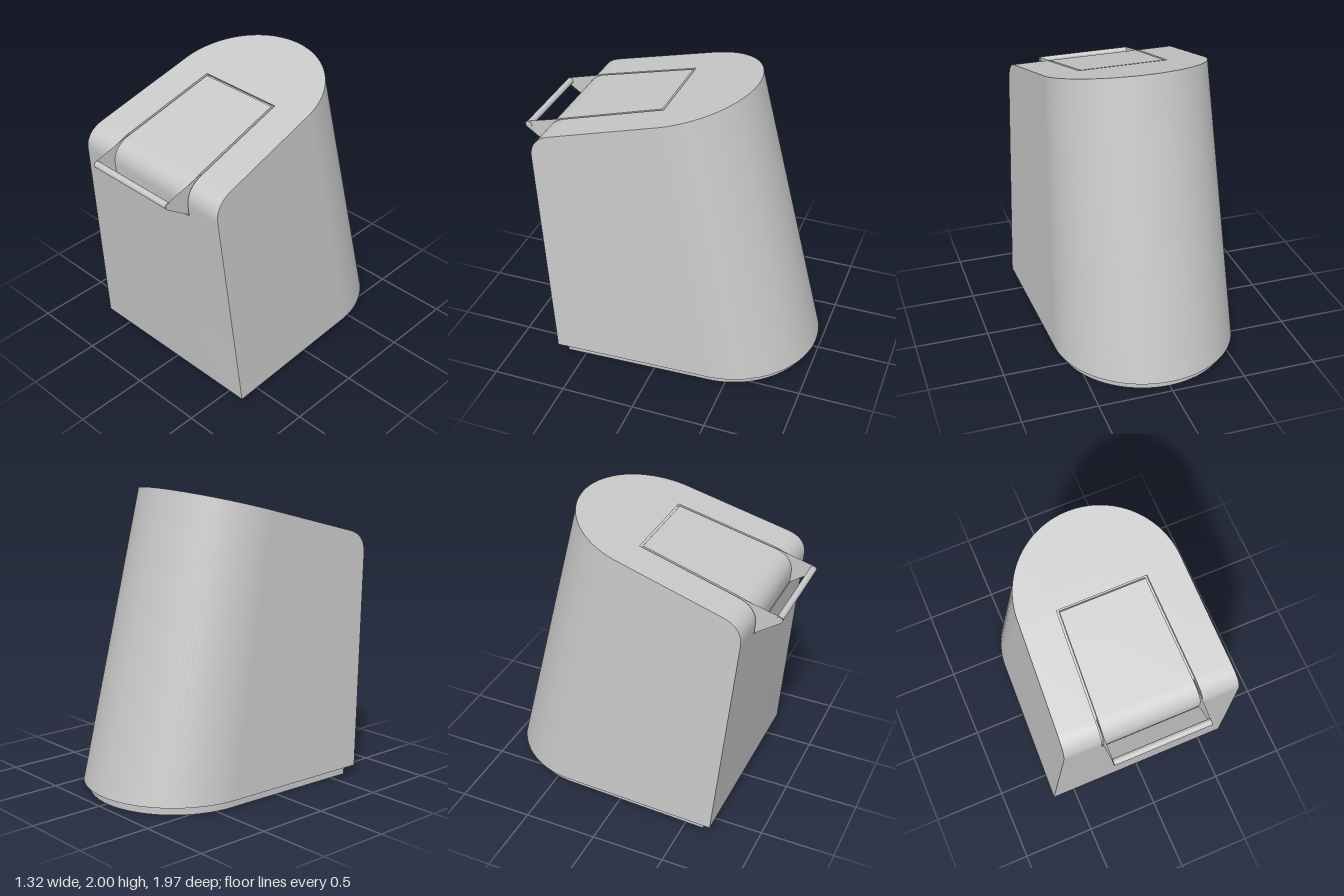
import * as THREE from 'three';
import { toCreasedNormals } from 'three/addons/utils/BufferGeometryUtils.js';

const lerp = THREE.MathUtils.lerp;

// Collects quads (corners anticlockwise from outside) into one creased geometry
class Quads {
  constructor() { this.p = []; }
  add(a, b, c, d) { this.p.push(...a, ...b, ...c, ...a, ...c, ...d); }
  // a quad on the +x side together with its mirror image
  pair(a, b, c, d) {
    const m = ([x, y, z]) => [-x, y, z];
    this.add(a, b, c, d);
    this.add(m(d), m(c), m(b), m(a));
  }
  build() {
    const g = new THREE.BufferGeometry();
    g.setAttribute('position', new THREE.Float32BufferAttribute(this.p, 3));
    return toCreasedNormals(g, 0.45);
  }
}

// Horizontal U section at height h above the body's foot
const FOOT = 0.06;
const arcZ = (h) => -0.36 + 0.203 * h;
const arcR = (h) => 0.62 - 0.0442 * h;
const frontZ = (h) => 0.69 + 0.0863 * h;
const frontW = (h) => 0.66 - 0.05 * h;
const slopeY = (z) => 1.867 - 0.267 * z;

// Half widths of the groove around the lid
const grooveOuter = (z) => 0.298 + 0.0475 * z;
const grooveInner = (z) => grooveOuter(z) - 0.016;

// Rim rows from the back over the top and down the front: half width, y, z and foot point
function makeRows() {
  const rows = [];
  const N = 28;
  for (let i = 0; i <= N; i++) {
    const t = (i / N) * Math.PI / 2, c = Math.cos(t), s = Math.sin(t);
    const A = -0.36 - 0.62 * c, B = 0.203 + 0.0442 * c;
    const h = (1.807 - 0.267 * A) / (1 + 0.267 * B);
    rows.push({ w: arcR(h) * s, y: h + FOOT, z: A + B * h, fw: 0.62 * s, fz: A });
  }
  const straight = (z, y) => {
    const h = y - FOOT;
    const s = (z - arcZ(h)) / (frontZ(h) - arcZ(h));
    rows.push({ w: lerp(arcR(h), frontW(h), s), y, z, fw: lerp(0.62, 0.66, s), fz: lerp(-0.36, 0.69, s) });
  };
  const lidStart = rows.length;
  for (const z of [0.025, 0.04]) straight(z, slopeY(z));
  // rounded upper front edge
  const bend = new THREE.QuadraticBezierCurve(
    new THREE.Vector2(0.69, slopeY(0.69)), new THREE.Vector2(0.826, 1.646),
    new THREE.Vector2(frontZ(1.46), 1.52));
  for (const p of bend.getPoints(12)) straight(p.x, p.y);
  for (const y of [1.457, 1.445]) straight(frontZ(y - FOOT), y);
  const lidEnd = rows.length - 1;
  straight(0.69, FOOT);
  return { rows, lidStart, lidEnd };
}

// Panel following the rows, with a skirt around it between depths d0 and d1
function makePanel(rows, half, surfaceDepth, d0, d1) {
  const q = new Quads();
  const at = (r, d, s = 1) => [s * half(r.z), r.y - d * 0.8, r.z - d * 0.6];
  for (let i = 0; i < rows.length - 1; i++) {
    const a = rows[i], b = rows[i + 1];
    q.add(at(a, surfaceDepth, -1), at(b, surfaceDepth, -1), at(b, surfaceDepth), at(a, surfaceDepth));
    q.pair(at(a, d0), at(b, d0), at(b, d1), at(a, d1));
  }
  const f = rows[0], l = rows[rows.length - 1];
  q.add(at(f, d0, -1), at(f, d0), at(f, d1), at(f, d1, -1));
  q.add(at(l, d0), at(l, d0, -1), at(l, d1, -1), at(l, d1));
  return q.build();
}

export function createModel() {
  const group = new THREE.Group();
  const grey = new THREE.MeshStandardMaterial({ color: 0xc8c8c8, side: THREE.DoubleSide });
  grey.name = 'light grey';
  const add = (name, geometry) => {
    const mesh = new THREE.Mesh(geometry, grey);
    mesh.name = name;
    group.add(mesh);
    return mesh;
  };

  const { rows, lidStart, lidEnd } = makeRows();

  // Body: walls, underside, and a top and front open where the lid sits
  const body = new Quads();
  const rim = (r, s = 1) => [s * r.w, r.y, r.z];
  const foot = (r, s = 1) => [s * r.fw, FOOT, r.fz];
  const edge = (r) => [grooveOuter(r.z), r.y, r.z];
  for (let i = 0; i < rows.length - 1; i++) {
    const a = rows[i], b = rows[i + 1];
    body.pair(rim(a), rim(b), foot(b), foot(a));
    body.add(foot(a), foot(b), foot(b, -1), foot(a, -1));
    if (i >= lidStart && i < lidEnd) body.pair(edge(a), edge(b), rim(b), rim(a));
    else body.add(rim(a, -1), rim(b, -1), rim(b), rim(a));
  }
  add('body', body.build());

  // Recess and the lid lying flush inside it
  add('lidRecess', makePanel(rows.slice(lidStart, lidEnd + 1), grooveOuter, 0.025, 0, 0.025));
  add('lid', makePanel(rows.slice(lidStart + 1, lidEnd), grooveInner, 0, 0, 0.025));

  // Handle: two side plates carrying a bar in front of the lid
  const plate = new THREE.Shape([
    [0.69, 1.683], [0.968, 1.609], [0.982, 1.602], [0.985, 1.588], [0.975, 1.567], [0.81, 1.45],
  ].map(([z, y]) => new THREE.Vector2(-z, y)));
  for (const s of [-1, 1]) {
    const mesh = add(s > 0 ? 'leftHandlePlate' : 'rightHandlePlate', new THREE.ShapeGeometry(plate));
    mesh.rotation.y = Math.PI / 2;
    mesh.position.x = s * 0.322;
  }
  const bar = add('handleBar', new THREE.CylinderGeometry(0.022, 0.022, 0.65, 20));
  bar.rotation.z = Math.PI / 2;
  bar.position.set(0, 1.586, 0.96);

  // Plinth, inset below the body
  const outline = new THREE.Shape();
  outline.moveTo(-0.62, -0.63);
  outline.lineTo(0.62, -0.63);
  outline.lineTo(0.58, 0.36);
  outline.absarc(0, 0.36, 0.58, 0, Math.PI, false);
  outline.closePath();
  const plinth = new THREE.ExtrudeGeometry(outline, { depth: FOOT - 0.001, bevelEnabled: false, curveSegments: 48 });
  plinth.rotateX(-Math.PI / 2);
  add('plinth', toCreasedNormals(plinth, 0.45));

  return group;
}
